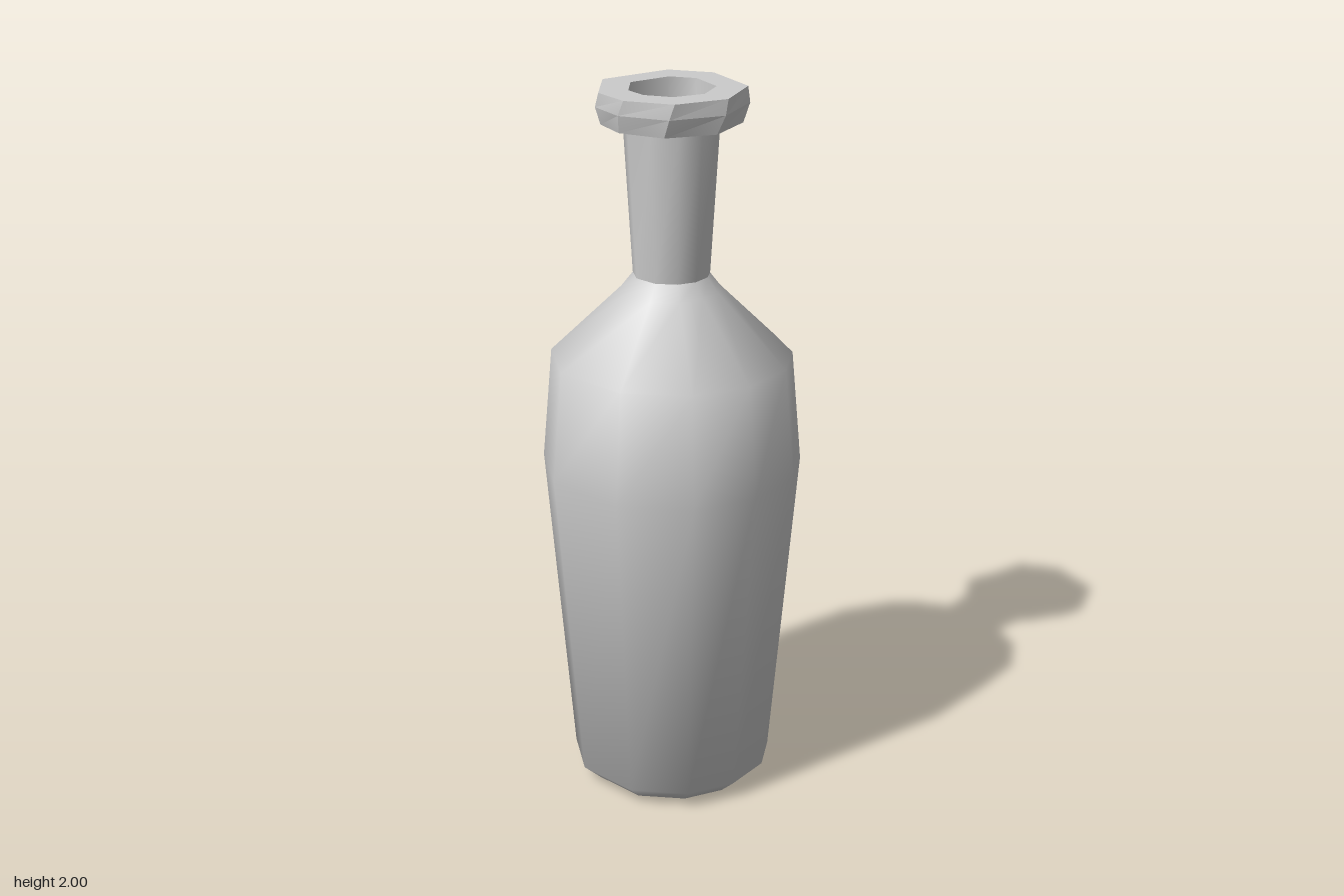
import * as THREE from 'three';
import { toCreasedNormals } from 'three/addons/utils/BufferGeometryUtils.js';

// Skin a [radius, height] profile around an uneven list of angles (degrees).
// A third profile value twists that ring; radius 0 closes the surface.
function loft(profile, angles, crease) {
  const n = angles.length;
  const position = [];
  const index = [];
  for (const [r, y, twist = 0] of profile) {
    for (const deg of angles) {
      const a = THREE.MathUtils.degToRad(deg + twist);
      position.push(r * Math.sin(a), y, r * Math.cos(a));
    }
  }
  for (let j = 0; j < profile.length - 1; j++) {
    for (let i = 0; i < n; i++) {
      const k = (i + 1) % n;
      const a = j * n + i, b = j * n + k, c = a + n, d = b + n;
      if (profile[j][0] > 0) index.push(a, b, d);
      if (profile[j + 1][0] > 0) index.push(a, d, c);
    }
  }
  const geometry = new THREE.BufferGeometry();
  geometry.setAttribute('position', new THREE.Float32BufferAttribute(position, 3));
  geometry.setIndex(index);
  return toCreasedNormals(geometry, crease);
}

export function createModel() {
  const group = new THREE.Group();
  group.name = 'bottle';
  const material = new THREE.MeshStandardMaterial({ color: 0xcccccc });
  const add = (name, geometry) => {
    const mesh = new THREE.Mesh(geometry, material);
    mesh.name = name;
    group.add(mesh);
  };

  // Body: chamfered foot, widening sides, sloping shoulder
  const bodyAngles = [7, 36, 65, 90, 118, 154.5, 180, 216, 260.5, 295, 333.5];
  add('body', loft([
    [0, 0], [0.23, 0.005], [0.28, 0.05], [0.357, 0.95],
    [0.33, 1.26], [0.135, 1.45], [0.104, 1.49],
  ], bodyAngles, 0.95));

  // Neck: flares slightly towards the lip
  add('neck', loft([[0.104, 1.49], [0.129, 1.91]], bodyAngles, 0.95));

  // Lip: faceted collar with a flat rim
  const lipAngles = [0, 44, 90, 143, 180, 242, 288, 320];
  add('lip', loft([
    [0.12, 1.905], [0.188, 1.905, -8], [0.205, 1.955, -4], [0.2, 1.995], [0.118, 1.995],
  ], lipAngles, 0.6));

  // Mouth: tapered bore ending in a flat floor
  add('mouth', loft([[0.118, 1.995], [0.088, 1.5], [0, 1.5]], lipAngles, 0.95));

  return group;
}
